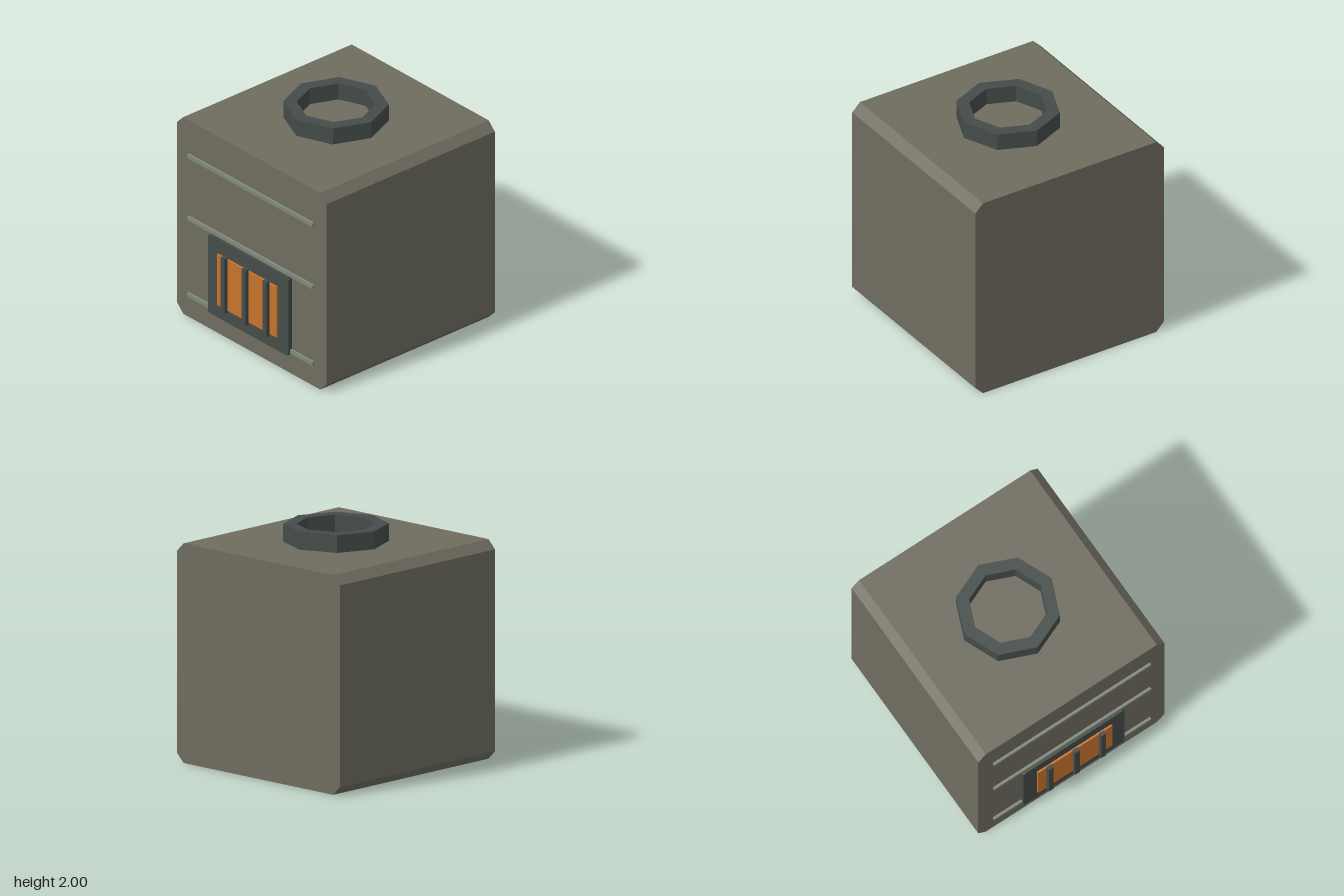
import * as THREE from 'three';

const paint = (color) => new THREE.MeshStandardMaterial({ color, flatShading: true });

// Rectangle centred on the origin with cut corners
function cutRect(w, h, c) {
  const x = w / 2, y = h / 2;
  return new THREE.Shape([
    [-x + c, -y], [x - c, -y], [x, -y + c], [x, y - c],
    [x - c, y], [-x + c, y], [-x, y - c], [-x, -y + c],
  ].map(([a, b]) => new THREE.Vector2(a, b)));
}

// Octagon with corners on the axes
function octagon(r) {
  return Array.from({ length: 8 }, (_, i) => {
    const a = (i * Math.PI) / 4;
    return new THREE.Vector2(r * Math.cos(a), r * Math.sin(a));
  });
}

const extrude = (shape, depth) => new THREE.ExtrudeGeometry(shape, { depth, bevelEnabled: false });

export function createModel() {
  const model = new THREE.Group();
  model.name = 'furnace';
  const stone = paint(0x6f6c5f), iron = paint(0x444c4a);
  const trim = paint(0x7f8878), ember = paint(0xc8742e);
  const front = 0.877, back = -0.968;

  function add(name, geometry, material, x, y, z) {
    const mesh = new THREE.Mesh(geometry, material);
    mesh.name = name;
    mesh.position.set(x, y, z);
    model.add(mesh);
    return mesh;
  }

  // Body with chamfered long edges
  add('body', extrude(cutRect(1.85, 1.85, 0.075), front - back), stone, 0, 0.925, back);

  // Open octagonal chimney collar
  const collar = new THREE.Shape(octagon(0.434));
  collar.holes.push(new THREE.Path(octagon(0.325)));
  add('chimneyCollar', extrude(collar, 0.152), iron, 0, 1.848, -0.046).rotation.x = -Math.PI / 2;

  // Horizontal trim strips
  for (const y of [0.218, 0.938, 1.523]) {
    add('trimStrip', new THREE.BoxGeometry(1.56, 0.035, 0.04), trim, 0, y, 0.88);
  }

  // Fire door: plate, glowing panel and grate bars
  add('doorPlate', extrude(cutRect(1.0, 0.737, 0.018), 0.05), iron, 0, 0.547, 0.867);
  add('firePanel', new THREE.BoxGeometry(0.737, 0.477, 0.04), ember, 0, 0.545, 0.914);
  for (const x of [-0.26, 0, 0.26]) {
    add('grateBar', new THREE.BoxGeometry(0.047, 0.518, 0.035), iron, x, 0.545, 0.95);
  }
  return model;
}
